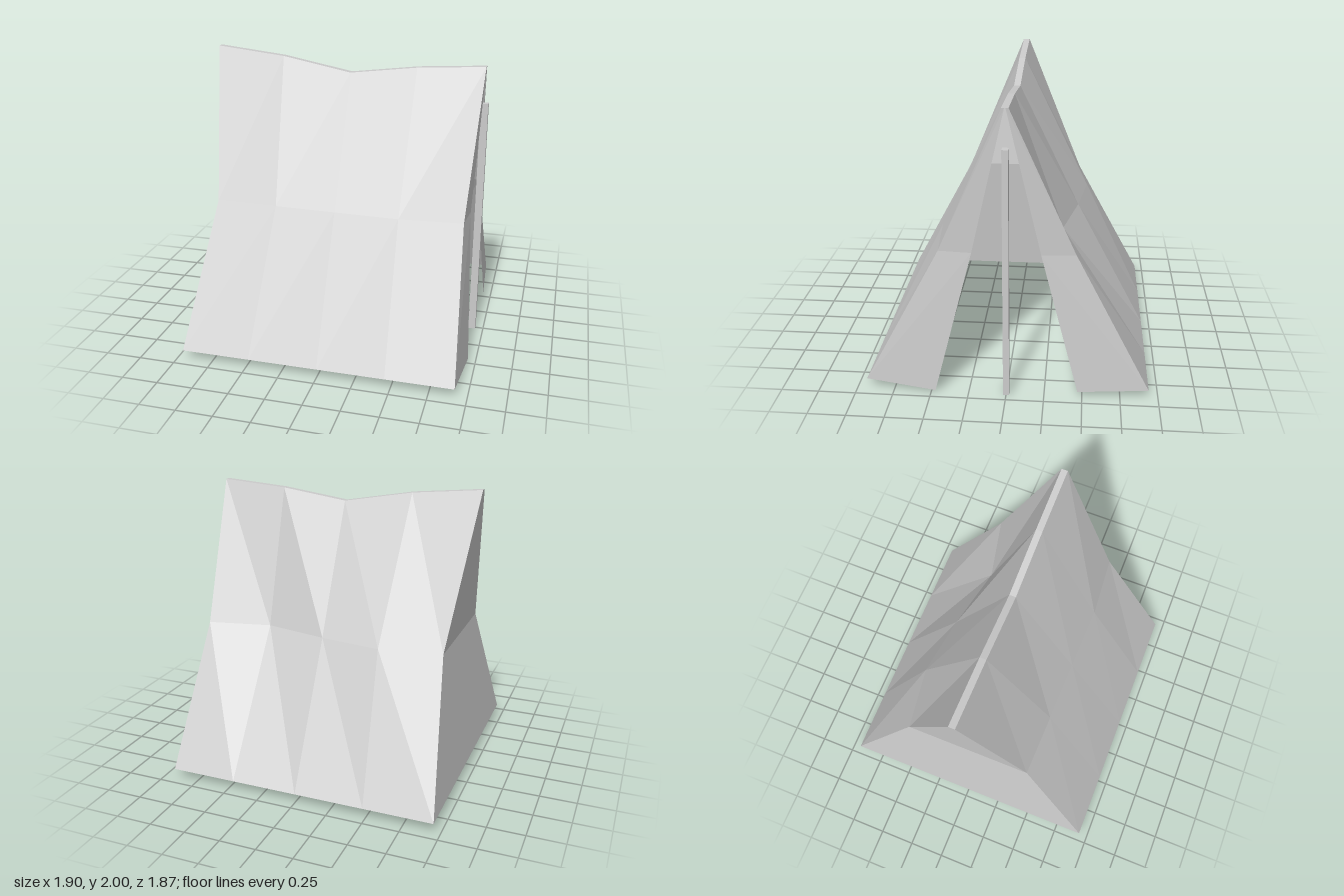
import * as THREE from 'three';

const cloth = new THREE.MeshStandardMaterial({ color: 0xcccccc, flatShading: true, side: THREE.DoubleSide });

// Joins rows of points into a sheet; flip reverses the winding.
function sheet(name, rows, flip = false) {
  const cols = rows[0].length;
  const index = [];
  for (let r = 0; r < rows.length - 1; r++) {
    for (let c = 0; c < cols - 1; c++) {
      const a = r * cols + c, b = a + 1, d = a + cols, e = d + 1;
      if (flip) index.push(a, e, b, a, d, e);
      else index.push(a, b, e, a, e, d);
    }
  }
  const geo = new THREE.BufferGeometry();
  geo.setAttribute('position', new THREE.Float32BufferAttribute(rows.flat(2), 3));
  geo.setIndex(index);
  geo.computeVertexNormals();
  const mesh = new THREE.Mesh(geo, cloth);
  mesh.name = name;
  return mesh;
}

export function createModel() {
  const tent = new THREE.Group();
  tent.name = 'tent';

  // Stations along the tent, from the closed end to the open end
  const endX = [-0.955, -0.48, 0, 0.46, 0.92];
  const midX = [-0.845, -0.42, 0, 0.44, 0.87];
  const ridgeY = [2, 1.95, 1.86, 1.92, 1.95];
  const midZ = { front: [0.44, 0.45, 0.46, 0.47, 0.435], back: [0.44, 0.5, 0.44, 0.345, 0.44] };
  const ridgeZ = 0.022, hemY = 0.065, hemZ = 0.935;

  // Sagging side walls: hem, middle and ridge rows
  const walls = {};
  for (const [side, s] of [['front', 1], ['back', -1]]) {
    walls[side] = [
      endX.map((x) => [x, hemY, s * hemZ]),
      midX.map((x, i) => [x, 1, s * midZ[side][i]]),
      endX.map((x, i) => [x, ridgeY[i], s * ridgeZ]),
    ];
    tent.add(sheet(side + 'Wall', walls[side], s < 0));
  }

  // Narrow flat strip along the ridge
  tent.add(sheet('ridgeStrip', [walls.front[2], walls.back[2]]));

  // Closed end, pinched in at mid height
  tent.add(sheet('endWall', walls.front.map((row, r) => [walls.back[r][0], row[0]])));

  // Two door flaps, drawn back from the opening
  for (const [side, s, cornerY] of [['front', 1, 0.015], ['back', -1, 0.05]]) {
    const inner = [[0.948, cornerY, s * 0.47], [0.888, 1, s * 0.22], [0.92, 1.95, s * 0.004]];
    tent.add(sheet(side + 'Flap', walls[side].map((row, r) => [row[4], inner[r]]), s < 0));
  }

  // Square pole standing in the doorway
  const pole = new THREE.Mesh(
    new THREE.BoxGeometry(0.05, 1.7, 0.04),
    new THREE.MeshStandardMaterial({ color: 0xcccccc, flatShading: true })
  );
  pole.name = 'pole';
  pole.position.set(0.92, 0.85, 0);
  tent.add(pole);

  return tent;
}
